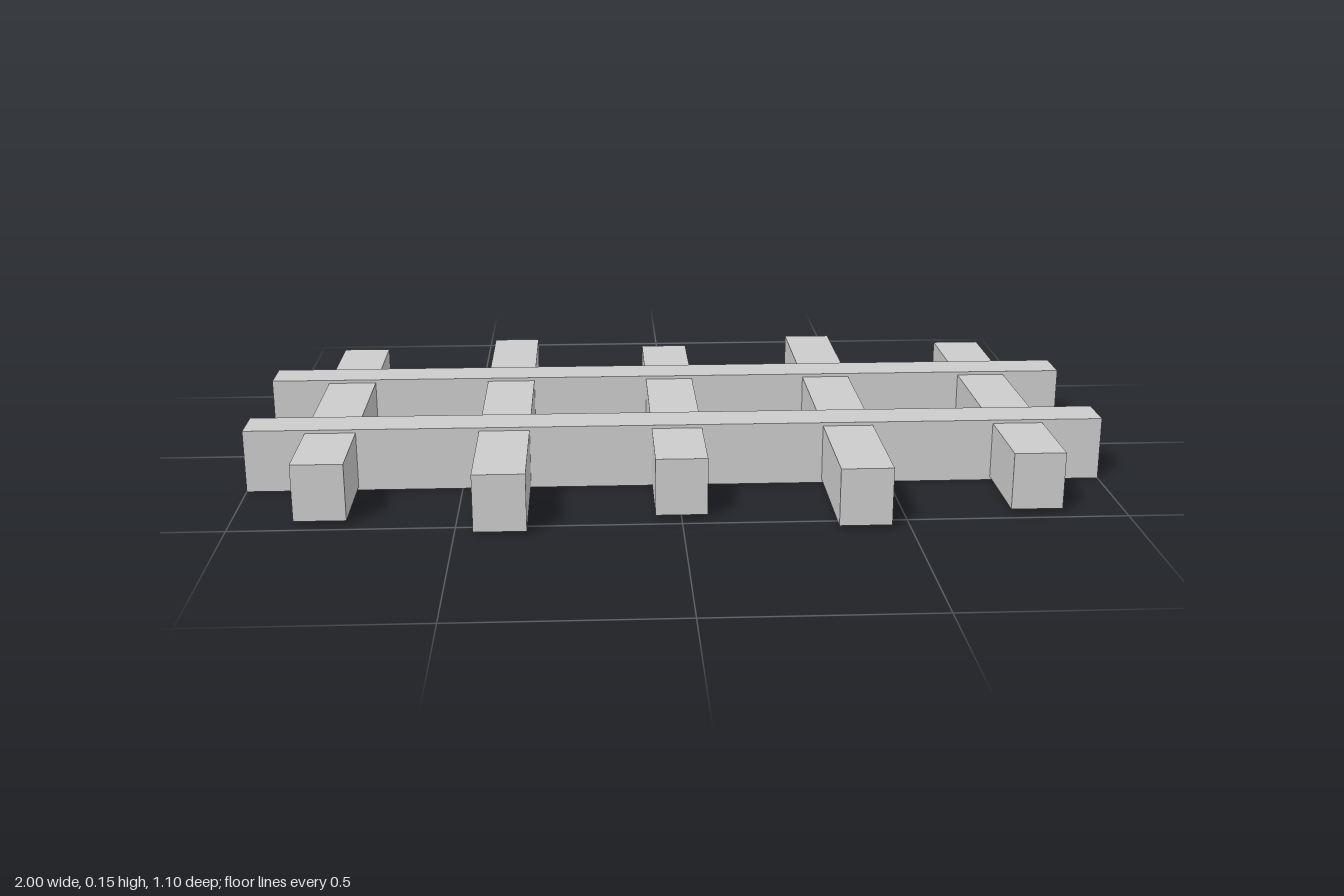
import * as THREE from 'three';

const RAIL = { length: 2, height: 0.148, width: 0.099, z: 0.201 };
const SLEEPER = { width: 0.117, height: 0.132, spacing: 0.4 };

export function createModel() {
  const group = new THREE.Group();
  group.name = 'railTrack';
  const material = new THREE.MeshStandardMaterial({ color: 0xcccccc, flatShading: true });

  const addBox = (name, w, h, d, x, z) => {
    const mesh = new THREE.Mesh(new THREE.BoxGeometry(w, h, d), material);
    mesh.name = name;
    mesh.position.set(x, RAIL.height / 2, z);
    group.add(mesh);
  };

  // Two long rails, mirrored front to back
  for (const side of [1, -1]) {
    addBox(side > 0 ? 'frontRail' : 'backRail', RAIL.length, RAIL.height, RAIL.width, 0, side * RAIL.z);
  }

  // Five sleepers, alternately short and long, slightly thinner than the rails
  for (let i = -2; i <= 2; i++) {
    const length = i % 2 === 0 ? 0.935 : 1.1;
    addBox(`sleeper${i + 3}`, SLEEPER.width, SLEEPER.height, length, i * SLEEPER.spacing, 0);
  }

  return group;
}
